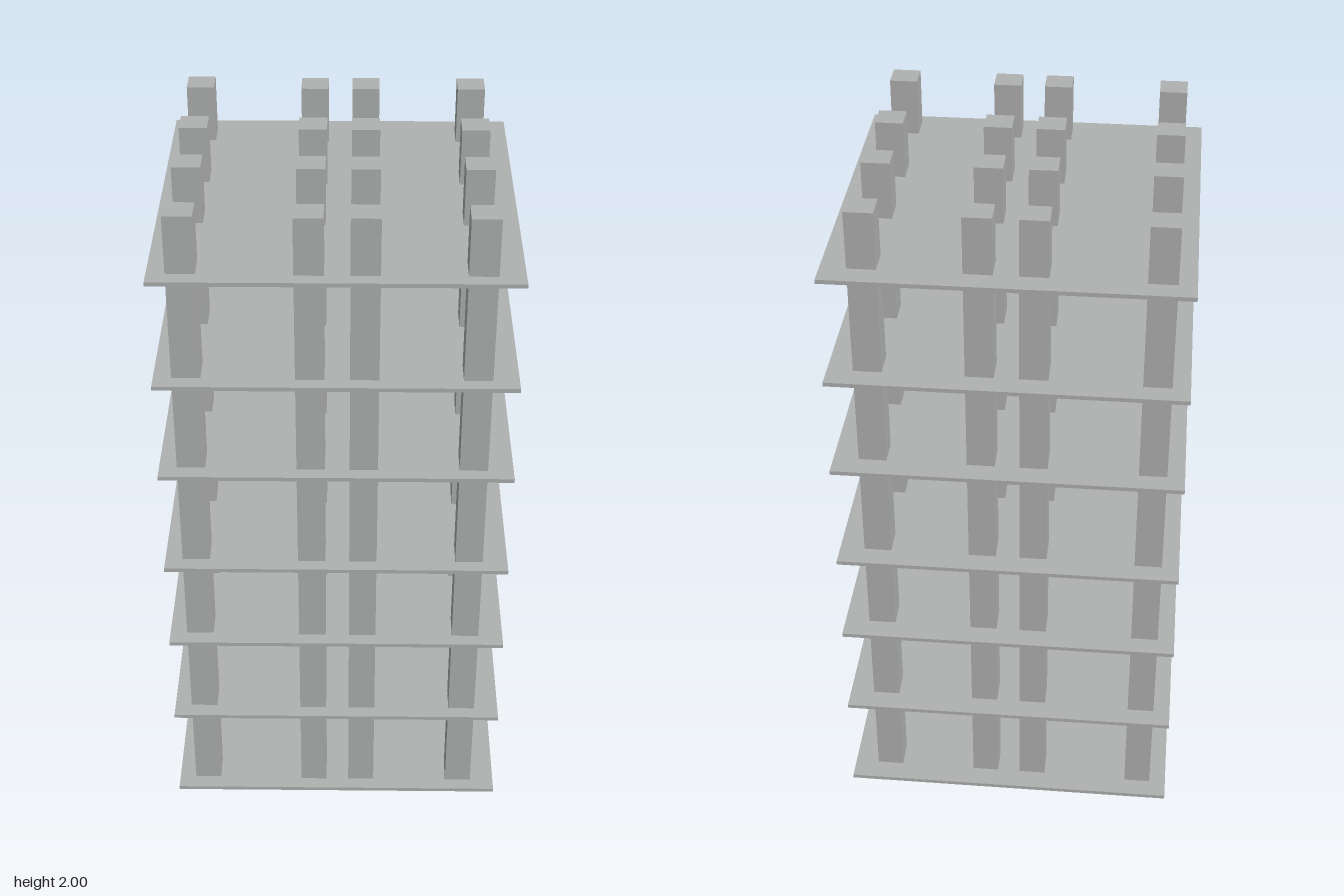
import * as THREE from 'three';

const SLAB_WIDTH = 0.988, SLAB_THICKNESS = 0.012;
const COLUMN_WIDTH = 0.079, COLUMN_BASE = 0.004, HEIGHT = 2;

export function createModel() {
  const model = new THREE.Group();
  model.name = 'buildingFrame';

  const concrete = new THREE.MeshStandardMaterial({ color: 0xb0b2b1 });
  concrete.name = 'concrete grey';

  const addBox = (parent, name, geometry, x, y, z) => {
    const mesh = new THREE.Mesh(geometry, concrete);
    mesh.name = name;
    mesh.position.set(x, y, z);
    parent.add(mesh);
  };

  // Floor slabs, at slightly uneven storey heights
  const floors = new THREE.Group();
  floors.name = 'floorSlabs';
  const slab = new THREE.BoxGeometry(SLAB_WIDTH, SLAB_THICKNESS, SLAB_WIDTH);
  [0.006, 0.313, 0.606, 0.886, 1.211, 1.508, 1.828].forEach((y, i) =>
    addBox(floors, `floorSlab${i + 1}`, slab, 0, y, 0));

  // Full-height square columns; the right-hand row stands slightly further back
  const columns = new THREE.Group();
  columns.name = 'columns';
  const columnHeight = HEIGHT - COLUMN_BASE;
  const column = new THREE.BoxGeometry(COLUMN_WIDTH, columnHeight, COLUMN_WIDTH);
  [-0.405, -0.071, 0.077, 0.383].forEach((x, row) => {
    const shift = row === 0 ? -0.006 : 0;
    [-0.39, -0.112, 0.135, 0.415].forEach((z, i) =>
      addBox(columns, `column${row * 4 + i + 1}`, column, x, COLUMN_BASE + columnHeight / 2, z + shift));
  });

  model.add(floors, columns);
  return model;
}
